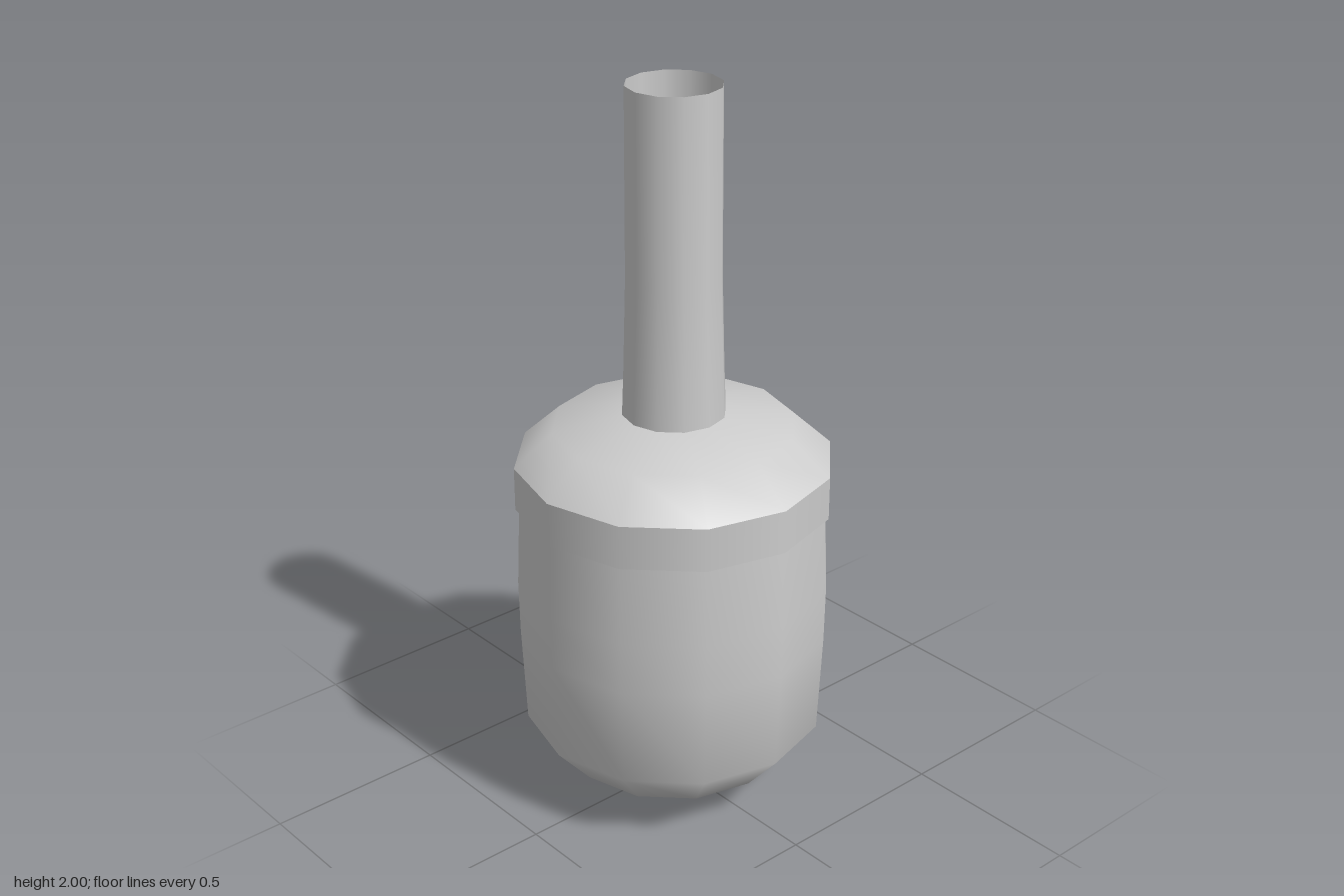
import * as THREE from 'three';

const SIDES = 12;
const material = new THREE.MeshStandardMaterial({ color: 0xcccccc, side: THREE.DoubleSide });

// Turns a [radius, height] profile, listed from bottom to top, around the y axis.
function turned(name, profile) {
  const points = profile.map(([r, y]) => new THREE.Vector2(r, y));
  const mesh = new THREE.Mesh(new THREE.LatheGeometry(points, SIDES), material);
  mesh.name = name;
  return mesh;
}

export function createModel() {
  const model = new THREE.Group();
  model.name = 'stemmedVessel';

  model.add(
    // Hollow bulb with a shallow pointed bottom
    turned('body', [[0, 0], [0.31, 0.1], [0.414, 0.22], [0.426, 0.5], [0.428, 0.65], [0.418, 0.875]]),
    // Collar: underside lip and upright band
    turned('collarLip', [[0.412, 0.88], [0.428, 0.87]]),
    turned('collarBand', [[0.428, 0.87], [0.428, 0.99]]),
    // Domed shoulder, open in the middle under the stem
    turned('shoulder', [[0.428, 0.99], [0.325, 1.085], [0.139, 1.12], [0.118, 1.123]]),
    // Open tube, flaring slightly at its foot
    turned('stem', [[0.139, 1.12], [0.134, 1.25], [0.127, 1.5], [0.125, 2]])
  );
  return model;
}
